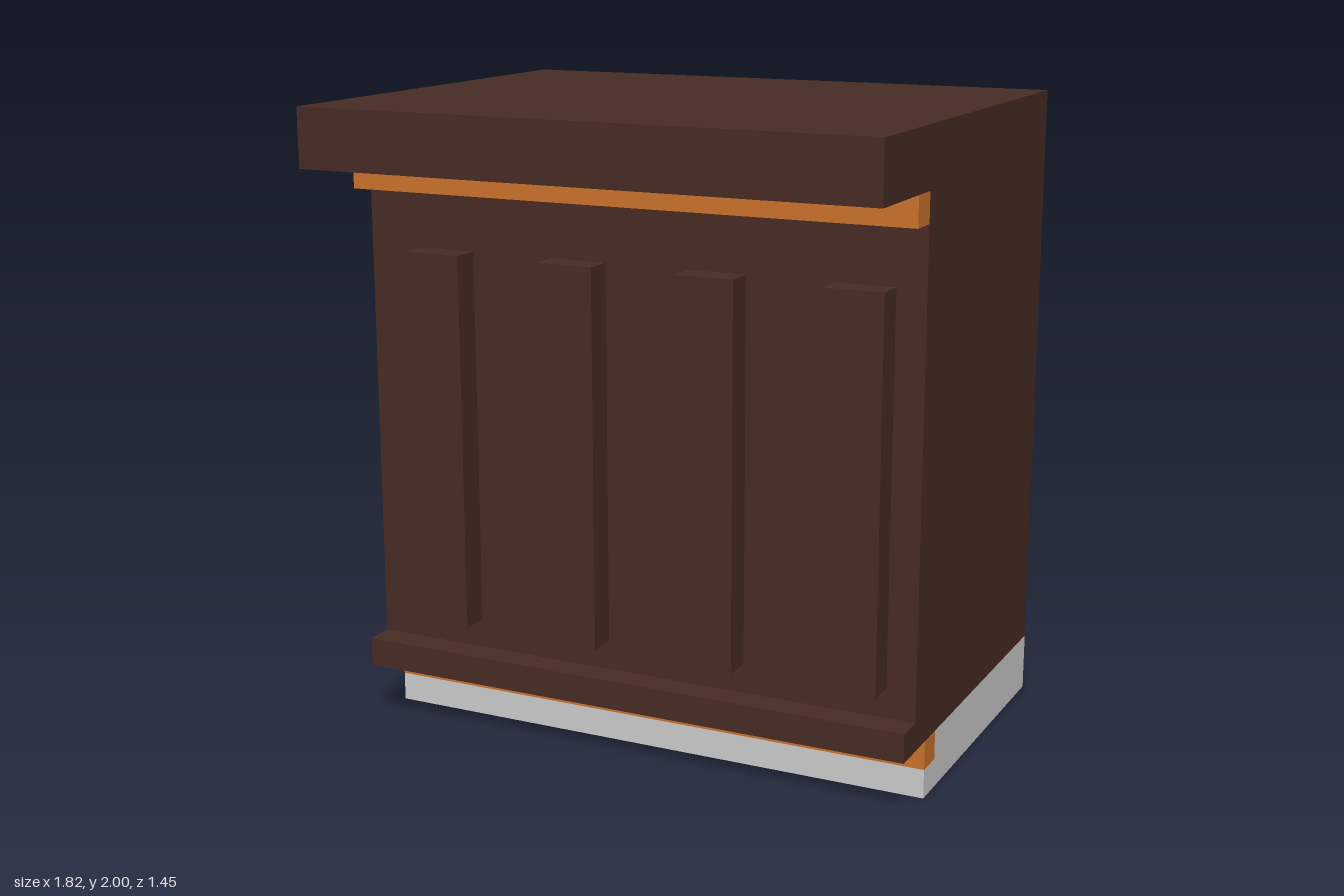
import * as THREE from 'three';

const U = 1 / 11;   // one design unit
const W = 10;       // half width in units

const make = (name, color) =>
  new THREE.MeshStandardMaterial({ name, color, side: THREE.DoubleSide });

export function createModel() {
  const brown = make('darkWood', 0x472c23);
  const orange = make('orangeTrim', 0xcc732c);
  const grey = make('greyBase', 0xcccccc);
  const model = new THREE.Group();
  model.name = 'counter';

  const add = (name, geometry, material) => {
    const mesh = new THREE.Mesh(geometry, material);
    mesh.name = name;
    model.add(mesh);
    return mesh;
  };

  // Full-width strip following [z, y] points, faces pointing outwards
  const strip = (name, pts, material) => {
    const pos = [];
    for (let i = 0; i + 1 < pts.length; i++) {
      const [z0, y0] = pts[i], [z1, y1] = pts[i + 1];
      pos.push(-W, y0, z0, W, y0, z0, W, y1, z1, -W, y0, z0, W, y1, z1, -W, y1, z1);
    }
    const g = new THREE.BufferGeometry();
    g.setAttribute('position', new THREE.Float32BufferAttribute(pos, 3));
    g.computeVertexNormals();
    add(name, g, material);
  };

  // Pair of flat end pieces cut to a [z, y] outline
  const ends = (name, pts, material) => {
    for (const s of [1, -1]) {
      const shape = new THREE.Shape(pts.map(([z, y]) => new THREE.Vector2(-s * z, y)));
      const g = new THREE.ShapeGeometry(shape);
      g.rotateY(s * Math.PI / 2);
      g.translate(s * W, 0, 0);
      add(name + (s > 0 ? 'Left' : 'Right'), g, material);
    }
  };

  // Hollow base, open underneath
  strip('baseFront', [[3, 0], [3, 1]], grey);
  strip('baseBack', [[-8, 2], [-8, 0]], grey);
  ends('baseSide', [[3, 0], [3, 1], [2, 1], [2, 2], [-8, 2], [-8, 0]], grey);

  // Lower orange trim
  strip('lowerTrim', [[3, 1], [3, 2]], orange);
  ends('lowerTrimEnd', [[2, 1], [3, 1], [3, 2], [2, 2]], orange);

  // Cabinet shell: bottom lip, overhanging top and back
  strip('lip', [[3, 2], [5, 2], [5, 3], [4, 3]], brown);
  strip('topAndBack', [[5, 20], [8, 20], [8, 22], [-8, 22], [-8, 2]], brown);
  ends('cabinetSide', [[-8, 2], [5, 2], [5, 3], [4, 3], [4, 20], [8, 20], [8, 22], [-8, 22]], brown);

  // Upper orange trim
  strip('upperTrim', [[4, 19], [5, 19], [5, 20]], orange);
  ends('upperTrimEnd', [[4, 19], [5, 19], [5, 20], [4, 20]], orange);

  // Front panel with openings, each covered by a hollow raised batten
  const rect = (C, x0, y0, x1, y1) => new C([[x0, y0], [x1, y0], [x1, y1], [x0, y1]]
    .map(([x, y]) => new THREE.Vector2(x, y)));
  const panel = rect(THREE.Shape, -W, 3, W, 19);
  for (const x of [-8, -3, 2, 7]) {
    panel.holes.push(rect(THREE.Path, x, 4, x + 2, 17));
    const g = new THREE.BoxGeometry(2, 13, 1);
    g.setIndex(Array.from(g.index.array).slice(0, 30)); // leave the back open
    g.clearGroups();
    add('batten', g, brown).position.set(x + 1, 10.5, 4.5);
  }
  add('frontPanel', new THREE.ShapeGeometry(panel), brown).position.z = 4;

  model.scale.setScalar(U);
  return model;
}
